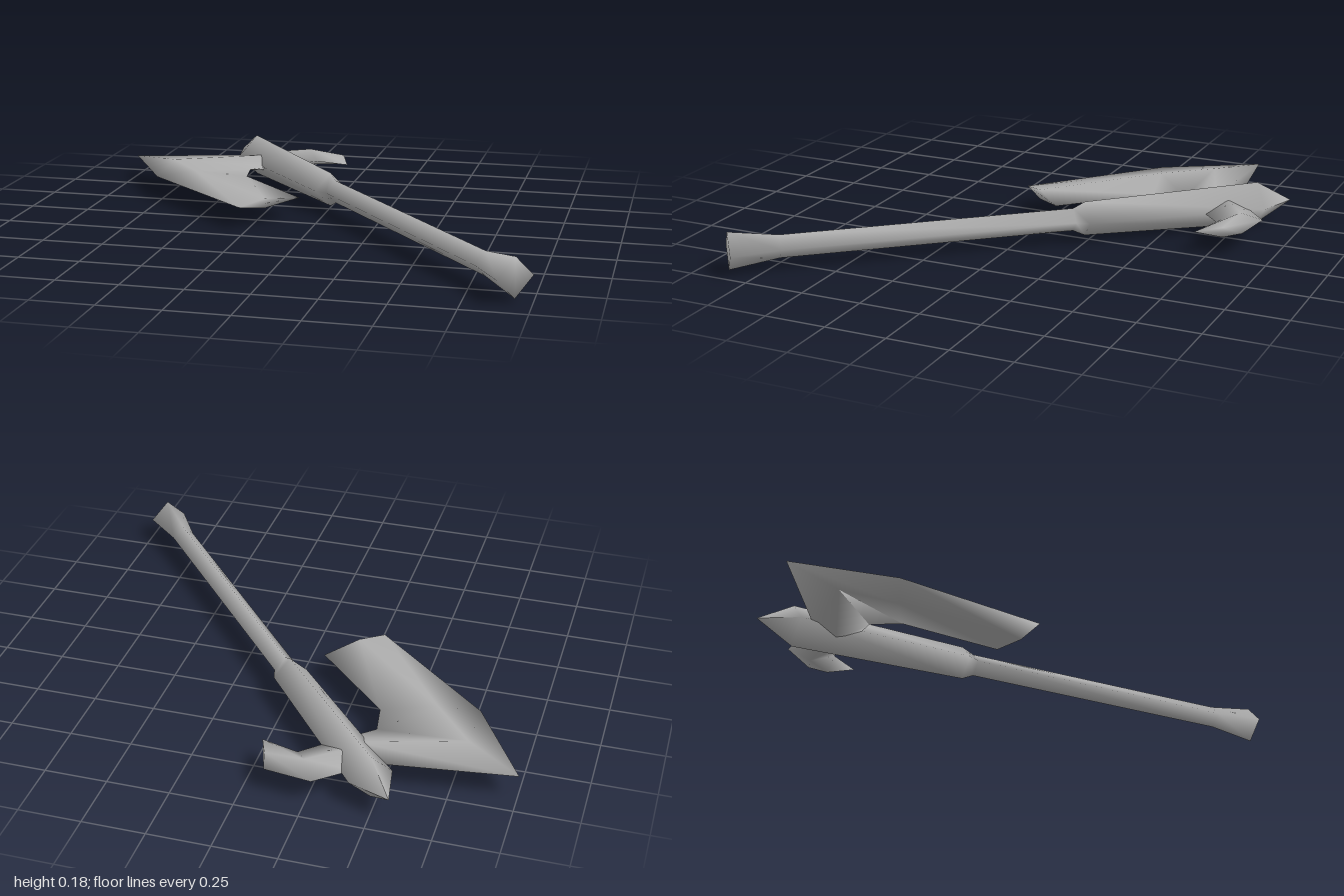
import * as THREE from 'three';

const MID_Y = 0.09; // height of the flat symmetry plane

// Lofts diamond sections. Each section: [side, ridge, otherSide, half thickness], points as [x, z].
function loftDiamonds(sections, material, name) {
  const positions = [];
  const index = [];
  for (const [a, ridge, b, t] of sections) {
    positions.push(a[0], MID_Y, a[1], ridge[0], MID_Y + t, ridge[1]);
    positions.push(b[0], MID_Y, b[1], ridge[0], MID_Y - t, ridge[1]);
  }
  for (let s = 0; s < sections.length - 1; s++) {
    for (let i = 0; i < 4; i++) {
      const p = s * 4 + i;
      const q = s * 4 + (i + 1) % 4;
      index.push(p, q, q + 4, p, q + 4, p + 4);
    }
  }
  // End caps
  const e = (sections.length - 1) * 4;
  index.push(3, 2, 1, 3, 1, 0, e, e + 1, e + 2, e, e + 2, e + 3);
  const geometry = new THREE.BufferGeometry();
  geometry.setAttribute('position', new THREE.Float32BufferAttribute(positions, 3));
  geometry.setIndex(index);
  geometry.computeVertexNormals();
  const mesh = new THREE.Mesh(geometry, material);
  mesh.name = name;
  return mesh;
}

// Section of the straight haft at a distance from the pommel end
function haftSection([distance, radius]) {
  const dx = -0.643, dz = -0.766;
  const x = 0.935 + dx * distance;
  const z = 0.868 + dz * distance;
  return [
    [x + dz * radius, z - dx * radius],
    [x, z],
    [x - dz * radius, z + dx * radius],
    radius,
  ];
}

export function createModel() {
  const group = new THREE.Group();
  group.name = 'axe';
  const steel = new THREE.MeshStandardMaterial({ color: 0xb0b0b0 });
  steel.name = 'grey steel';

  // Haft: flared pommel, thin grip, thick collar and pointed top
  const haft = [[0, 0.078], [0.2, 0.048], [1.39, 0.048], [1.44, 0.072], [2.19, 0.09], [2.342, 0.0005]];
  group.add(loftDiamonds(haft.map(haftSection), steel, 'haft'));

  // Broad blade with a central ridge: inner edge, ridge, cutting edge
  group.add(loftDiamonds([
    [[-0.33, -0.59], [-0.38, -0.66], [-0.44, -0.73], 0.035],
    [[-0.42, -0.51], [-0.78, -0.52], [-1.0, -0.655], 0.024],
    [[-0.4, -0.38], [-0.62, -0.33], [-0.78, -0.28], 0.024],
    [[-0.085, -0.065], [-0.2, 0.06], [-0.285, 0.155], 0.02],
  ], steel, 'blade'));

  // Bent hook behind the blade: outer edge, ridge, inner edge
  group.add(loftDiamonds([
    [[-0.4, -0.79], [-0.34, -0.73], [-0.26, -0.65], 0.04],
    [[-0.27, -0.9], [-0.22, -0.82], [-0.17, -0.735], 0.036],
    [[-0.08, -0.875], [-0.06, -0.8], [-0.02, -0.695], 0.02],
  ], steel, 'backHook'));

  return group;
}
